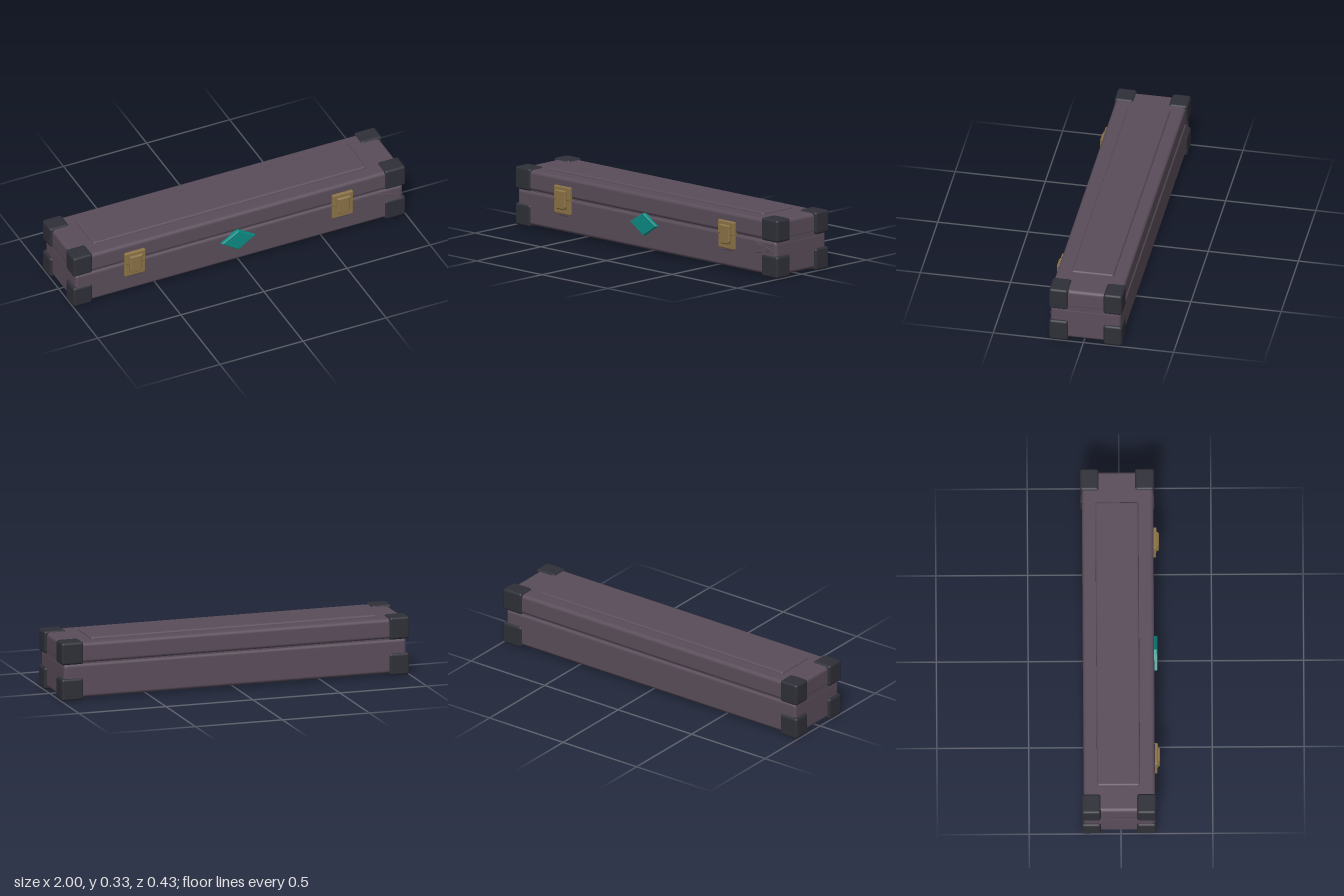
import * as THREE from 'three';
import { RoundedBoxGeometry } from 'three/addons/geometries/RoundedBoxGeometry.js';

function material(name, color) {
  const m = new THREE.MeshStandardMaterial({ color });
  m.name = name;
  return m;
}

export function createModel() {
  const purple = material('plum leather', 0x5a4d5a);
  const dark = material('charcoal caps', 0x2f2f38);
  const brass = material('aged brass', 0x8c7346);
  const teal = material('teal gem', 0x0c8a82);

  const model = new THREE.Group();
  model.name = 'longCase';

  function add(name, geometry, mat, parent = model) {
    const mesh = new THREE.Mesh(geometry, mat);
    mesh.name = name;
    parent.add(mesh);
    return mesh;
  }

  // Rounded block given by its minimum and maximum on each axis
  function block(name, [x0, x1], [y0, y1], [z0, z1], radius, mat, parent) {
    const g = new RoundedBoxGeometry(x1 - x0, y1 - y0, z1 - z0, 3, radius);
    g.translate((x0 + x1) / 2, (y0 + y1) / 2, (z0 + z1) / 2);
    return add(name, g, mat, parent);
  }

  // Plate drawn in x and y, extruded from z with a bevelled front edge
  function plate(name, points, z, depth, bevel, mat, parent) {
    const shape = new THREE.Shape(points.map(([x, y]) => new THREE.Vector2(x, y)));
    const g = new THREE.ExtrudeGeometry(shape, {
      depth: depth - bevel, bevelEnabled: bevel > 0, bevelThickness: bevel,
      bevelSize: bevel, bevelOffset: -bevel, bevelSegments: 1,
    });
    g.translate(0, 0, z);
    return add(name, g, mat, parent);
  }

  // Case body: base and lid with a recessed seam between them
  block('base', [-0.985, 0.985], [0.013, 0.203], [-0.203, 0.186], 0.018, purple);
  block('lid', [-0.985, 0.985], [0.205, 0.318], [-0.203, 0.186], 0.02, purple);
  block('seamCore', [-0.984, 0.984], [0.08, 0.28], [-0.194, 0.177], 0.005, purple);

  // Raised panel on the lid
  block('lidPanel', [-0.84, 0.805], [0.29, 0.33], [-0.13, 0.105], 0.012, purple);

  // Eight protective corner caps
  for (const side of [-1, 1]) {
    const x = side < 0 ? [-1, -0.885] : [0.875, 1];
    for (const [zName, z] of [['Front', [0.087, 0.192]], ['Back', [-0.213, -0.11]]]) {
      for (const [yName, y] of [['lower', [0.001, 0.124]], ['upper', [0.202, 0.327]]]) {
        block(`${yName}${zName}CornerCap`, x, y, z, 0.014, dark);
      }
    }
  }

  // Two latches over the seam
  for (const x of [-0.633, 0.617]) {
    const latch = new THREE.Group();
    latch.name = 'latch';
    latch.position.x = x;
    model.add(latch);
    block('latchUpperPlate', [-0.062, 0.062], [0.195, 0.27], [0.175, 0.203], 0.006, brass, latch);
    block('latchLowerPlate', [-0.062, 0.062], [0.116, 0.205], [0.175, 0.2], 0.006, brass, latch);
    plate('latchHasp', [
      [-0.028, 0.143], [0.028, 0.143], [0.037, 0.16], [0.037, 0.225], [0.04, 0.25],
      [-0.04, 0.25], [-0.037, 0.225], [-0.037, 0.16],
    ], 0.195, 0.02, 0.006, brass, latch);
    block('latchFoot', [-0.04, 0.04], [0.103, 0.125], [0.175, 0.19], 0.005, purple, latch);
  }

  // Diamond emblem on the front
  plate('diamondEmblem', [[-0.113, 0.157], [-0.012, 0.09], [0.089, 0.157], [-0.012, 0.217]],
    0.18, 0.024, 0.004, teal);

  // Small wedge tab near the front corner
  plate('wedgeTab', [[0.835, 0.125], [0.975, 0.153], [0.835, 0.187]], 0.18, 0.009, 0.002, purple);

  return model;
}
